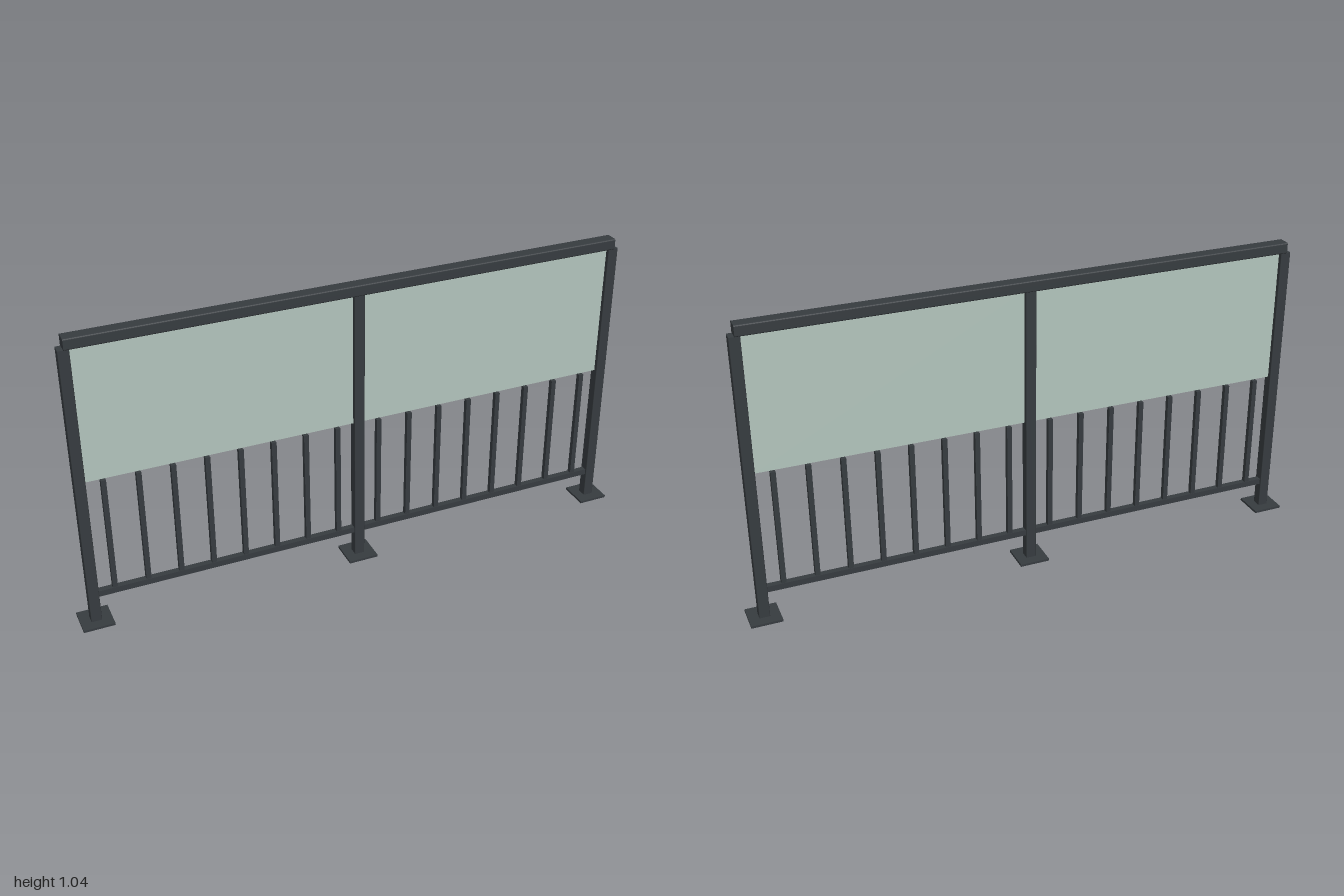
import * as THREE from 'three';

const frame = new THREE.MeshStandardMaterial({ color: 0x373c40 });
const glass = new THREE.MeshStandardMaterial({ color: 0xb4c6be });

// Square-section tube with softened long edges, extruded along z and centred
function bar(w, h, length, r) {
  const x = w / 2, y = h / 2;
  const s = new THREE.Shape();
  s.moveTo(-x + r, -y);
  s.lineTo(x - r, -y);
  s.absarc(x - r, -y + r, r, -Math.PI / 2, 0);
  s.lineTo(x, y - r);
  s.absarc(x - r, y - r, r, 0, Math.PI / 2);
  s.lineTo(-x + r, y);
  s.absarc(-x + r, y - r, r, Math.PI / 2, Math.PI);
  s.lineTo(-x, -y + r);
  s.absarc(-x + r, -y + r, r, Math.PI, Math.PI * 1.5);
  const g = new THREE.ExtrudeGeometry(s, { depth: length, bevelEnabled: false, curveSegments: 3 });
  return g.translate(0, 0, -length / 2);
}

export function createModel() {
  const model = new THREE.Group();
  const add = (name, geometry, material, x, y, z = 0) => {
    const mesh = new THREE.Mesh(geometry, material);
    mesh.name = name;
    mesh.position.set(x, y, z);
    model.add(mesh);
  };

  const span = 0.947, postW = 0.036, postH = 1.005;
  const bay = span - postW;

  // Posts on square base plates
  const postGeo = bar(postW, postW, postH, 0.003).rotateX(-Math.PI / 2);
  const plateGeo = new THREE.BoxGeometry(0.106, 0.008, 0.106);
  for (const x of [-span, 0, span]) {
    add('post', postGeo, frame, x, postH / 2);
    add('basePlate', plateGeo, frame, x, 0.004);
  }

  // Handrail across the post tops
  add('handrail', bar(0.047, 0.038, span * 2, 0.005).rotateY(Math.PI / 2), frame, 0, 1.024);

  // Each bay: bottom rail, glass panel and eight balusters
  const railGeo = new THREE.BoxGeometry(bay, 0.021, 0.021);
  const panelGeo = new THREE.BoxGeometry(bay, 0.47, 0.006);
  const balusterGeo = new THREE.BoxGeometry(0.017, 0.416, 0.017);
  for (const side of [-1, 1]) {
    const cx = side * span / 2;
    add('bottomRail', railGeo, frame, cx, 0.107);
    add('glassPanel', panelGeo, glass, cx, 0.77);
    for (let i = 0; i < 8; i++) {
      add('baluster', balusterGeo, frame, cx + (i - 3.5) * 0.1138, 0.322);
    }
  }
  return model;
}
